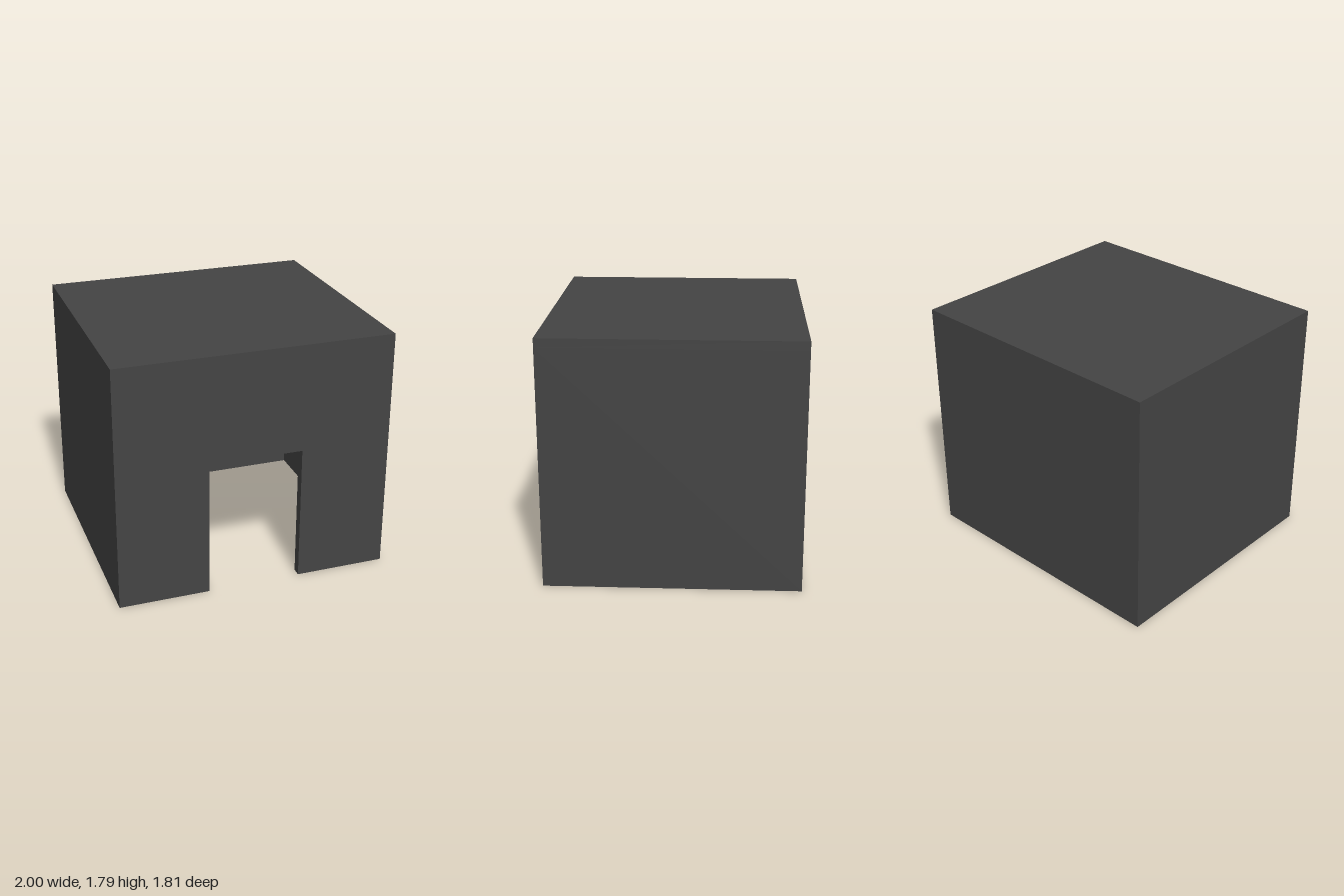
import * as THREE from 'three';

const W = 1, D = 0.905, H = 1.79;        // half width, half depth, height
const T = 0.065;                         // wall thickness
const DOOR_W = 0.34, DOOR_H = 1.005;     // half width and height of the doorway

export function createModel() {
  const group = new THREE.Group();
  group.name = 'openHut';
  const material = new THREE.MeshStandardMaterial({ color: 0x444444, flatShading: true });

  const add = (name, geometry, x = 0, y = 0, z = 0) => {
    const mesh = new THREE.Mesh(geometry, material);
    mesh.name = name;
    mesh.position.set(x, y, z);
    group.add(mesh);
  };

  // Walls: one C-shaped floor plan, open at the doorway, raised to the roof
  const half = [[DOOR_W, -D], [W, -D], [W, D]];
  const inner = [[W - T, D - T], [W - T, T - D], [DOOR_W, T - D]];
  const mirror = (pts) => pts.map(([x, y]) => [-x, y]).reverse();
  const plan = [...half, ...mirror(half), ...mirror(inner), ...inner];
  const walls = new THREE.ExtrudeGeometry(
    new THREE.Shape(plan.map(([x, y]) => new THREE.Vector2(x, y))),
    { depth: H - T, bevelEnabled: false }
  );
  walls.rotateX(-Math.PI / 2);
  add('walls', walls);

  // Wall section above the doorway
  const lintelH = H - T - DOOR_H;
  add('lintel', new THREE.BoxGeometry(2 * DOOR_W, lintelH, T), 0, DOOR_H + lintelH / 2, D - T / 2);

  // Flat roof slab
  add('roof', new THREE.BoxGeometry(2 * W, T, 2 * D), 0, H - T / 2, 0);

  return group;
}
